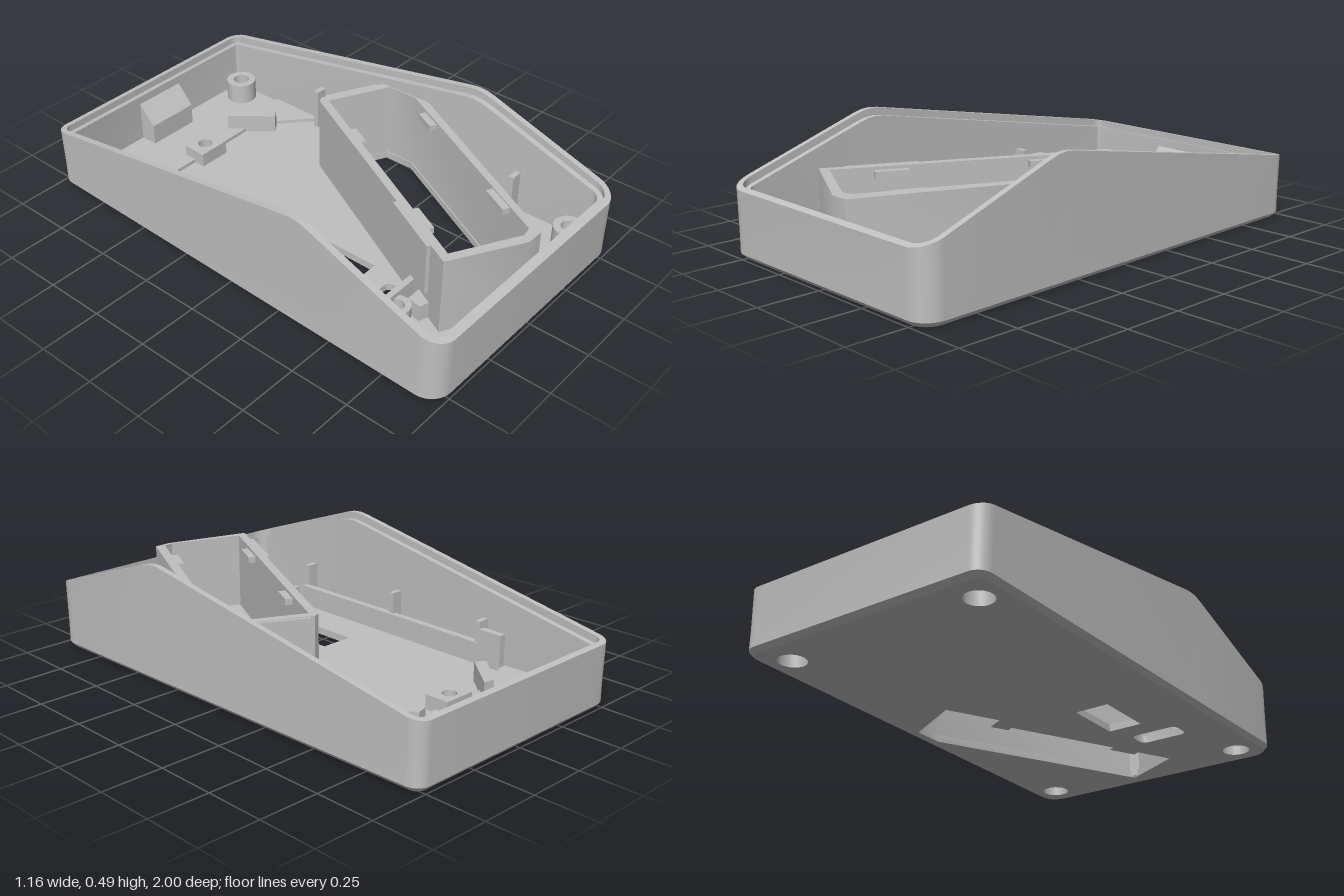
import * as THREE from 'three';
import { toCreasedNormals } from 'three/addons/utils/BufferGeometryUtils.js';

const FLOOR = 0.03, WALL = 0.05, LIP = 0.025;

// Half width of the case, slightly tapering to the back
const halfWidth = z => 0.559 + 0.0225 * z;

// Height of the rim along the side
const RIM = [[-1, 0.26], [0.3, 0.487], [0.34, 0.491], [0.38, 0.487], [0.42, 0.475], [1, 0.27]];
function rimHeight(z) {
  for (let i = 1; i < RIM.length; i++) {
    const [z0, h0] = RIM[i - 1], [z1, h1] = RIM[i];
    if (z <= z1) return h0 + (h1 - h0) * Math.max(0, (z - z0) / (z1 - z0));
  }
  return 0.27;
}

// Rounded plan outline, inset by d, as [x, z] pairs
function outline(d) {
  const pts = [];
  const corner = (sx, sz, a0) => {
    const r = sz > 0 ? 0.09 : 0.06;
    const cz = sz * (1 - r), cx = sx * (halfWidth(cz) - r);
    for (let i = 0; i <= 8; i++) {
      const a = a0 + (i / 8) * Math.PI / 2;
      pts.push([cx + Math.cos(a) * (r - d), cz + Math.sin(a) * (r - d)]);
    }
  };
  const side = (s, zs) => zs.forEach(z => pts.push([s * (halfWidth(z) - d), z]));
  const bends = [0.3, 0.34, 0.38, 0.42];
  side(1, bends);
  corner(1, 1, 0);
  corner(-1, 1, Math.PI / 2);
  side(-1, bends.slice().reverse());
  corner(-1, -1, Math.PI);
  corner(1, -1, Math.PI * 1.5);
  return pts;
}

// Wall skin: chamfer, drafted outer face, rim, stepped lip and inner face
function wallGeometry() {
  const rings = [
    [0.022, () => 0], [0.003, () => 0.02], [0.003, () => 0.11], [0, rimHeight], [LIP, rimHeight],
    [LIP, z => rimHeight(z) - 0.03], [WALL, z => rimHeight(z) - 0.03], [WALL, () => 0.02],
  ].map(([d, h]) => outline(d).map(([x, z]) => [x, h(z), z]));
  const n = rings[0].length, pos = [], index = [];
  rings.forEach(r => r.forEach(p => pos.push(...p)));
  for (let k = 0; k < rings.length - 1; k++) {
    for (let i = 0; i < n; i++) {
      const a = k * n + i, b = k * n + (i + 1) % n;
      index.push(a, a + n, b, b, a + n, b + n);
    }
  }
  const g = new THREE.BufferGeometry();
  g.setAttribute('position', new THREE.Float32BufferAttribute(pos, 3));
  g.setIndex(index);
  return toCreasedNormals(g, 0.4);
}

// Upright prism from an [x, z] plan, between y0 and y1; outer loops and holes wind opposite ways
function prism(plan, y0, y1, holes = []) {
  const wind = (pts, clockwise) => {
    const v = pts.map(([x, z]) => new THREE.Vector2(x, z));
    return THREE.ShapeUtils.isClockWise(v) === clockwise ? v : v.reverse();
  };
  const shape = new THREE.Shape(wind(plan, false));
  holes.forEach(h => shape.holes.push(new THREE.Path(wind(h, true))));
  const g = new THREE.ExtrudeGeometry(shape, { depth: y1 - y0, bevelEnabled: false });
  g.rotateX(Math.PI / 2).translate(0, y1, 0);
  return toCreasedNormals(g, 0.5);
}

const rect = (x0, x1, z0, z1) => [[x0, z0], [x1, z0], [x1, z1], [x0, z1]];
const circle = (cx, cz, r, n = 24) => Array.from({ length: n }, (_, i) => {
  const a = (i / n) * Math.PI * 2;
  return [cx + r * Math.cos(a), cz + r * Math.sin(a)];
});
function roundRect(x0, x1, z0, z1, r) {
  const pts = [];
  [[x1 - r, z1 - r], [x0 + r, z1 - r], [x0 + r, z0 + r], [x1 - r, z0 + r]].forEach(([x, z], k) => {
    for (let i = 0; i <= 4; i++) {
      const a = (k + i / 4) * Math.PI / 2;
      pts.push([x + r * Math.cos(a), z + r * Math.sin(a)]);
    }
  });
  return pts;
}

// Slanted compartment coordinates: s along its length, t across it
const bay = ([s, t]) => [-0.28 + 0.451 * s + 0.893 * t, 0.79 - 0.893 * s + 0.451 * t];
const bayRect = (s0, s1, t0, t1) => rect(s0, s1, t0, t1).map(bay);

export function createModel() {
  const group = new THREE.Group();
  const grey = new THREE.MeshStandardMaterial({ color: 0xc0c0c0 });
  grey.name = 'grey plastic';
  const add = (name, geometry) => {
    const m = new THREE.Mesh(geometry, grey);
    m.name = name;
    group.add(m);
    return m;
  };

  add('outerWall', wallGeometry());

  // Floor with screw holes, window, slot and compartment opening
  const screws = [[-0.42, -0.86], [0.42, -0.86], [-0.46, 0.87], [0.46, 0.87]];
  const opening = [[0.04, 0.09], [0.2, 0.09], [0.2, 0.12], [0.32, 0.12], [0.32, 0.09],
    [0.8, 0.09], [0.8, 0.12], [0.88, 0.12], [0.88, 0.04], [1.113, 0.04],
    [1.113, 0.31], [1.0, 0.37], [0.04, 0.37]].map(bay);
  add('floor', prism(outline(0.022), 0, FLOOR, [
    ...screws.map(([x, z]) => circle(x, z, 0.056)),
    rect(-0.285, -0.14, 0.13, 0.38),
    roundRect(-0.385, -0.18, 0.48, 0.575, 0.025),
    opening,
  ]));

  // Counterbored screw bosses
  const bossProfile = [[0.065, 0.02], [0.065, 0.12], [0.035, 0.12], [0.035, 0.08], [0.055, 0.08], [0.055, 0]]
    .map(p => new THREE.Vector2(...p));
  screws.forEach(([x, z]) => {
    add('screwBoss', toCreasedNormals(new THREE.LatheGeometry(bossProfile, 24), 0.5)).position.set(x, 0, z);
  });

  // Slanted compartment walls, trimmed where they meet the case, top dipping at the front
  const bayOuter = [[0, 0], [0, 0.344], [0.033, 0.41], [0.98, 0.41], [1.15, 0.325], [1.15, 0.02], [1.13, 0]];
  const bayInner = [[0.035, 0.035], [0.035, 0.34], [0.06, 0.375], [0.997, 0.375], [1.115, 0.315], [1.115, 0.035]];
  const bayWall = prism(bayOuter.map(bay), 0.005, 0.358, [bayInner.map(bay)]);
  const bp = bayWall.attributes.position;
  for (let i = 0; i < bp.count; i++) {
    if (bp.getY(i) > 0.3) bp.setY(i, 0.358 - 0.2 * Math.max(0, bp.getZ(i) - 0.86));
  }
  add('compartmentWall', bayWall);
  [[0.2, 0.33], [0.8, 0.9]].forEach(([s0, s1]) => {
    add('compartmentClip', prism(bayRect(s0, s1, 0.345, 0.38), 0.32, 0.345));
    add('compartmentClip', prism(bayRect(s0, s1, 0.03, 0.065), 0.32, 0.345));
  });
  add('sidePanel', prism(bayRect(0.1, 0.38, -0.015, 0.01), 0.14, 0.357));
  add('endPanel', prism(bayRect(1.14, 1.162, 0.04, 0.27), 0.14, 0.355));
  add('fingerRecess', prism([[0.33, -0.19], [0.36, -0.27], [0.40, -0.29], [0.46, -0.285],
    [0.5, -0.26], [0.5, -0.12]], 0.02, 0.11));

  // Low ribs on the side walls
  [[-1, -0.43], [1, -0.43], [-1, 0.05], [-1, 0.58], [1, 0.58]].forEach(([s, z]) => {
    const inner = halfWidth(z) - WALL;
    const xs = [s * (inner - 0.05), s * (inner + 0.01)].sort((a, b) => a - b);
    add('wallRib', prism(rect(...xs, z - 0.012, z + 0.012), 0.02, 0.21));
  });

  // Board rail along the right wall
  add('boardRail', prism(rect(-0.475, -0.445, -0.55, 0.58), 0.02, 0.12));
  add('railEnd', prism(rect(-0.475, -0.445, -0.55, -0.44), 0.02, 0.18));
  add('railFoot', prism([[-0.485, 0.58], [-0.4, 0.58], [-0.36, 0.68], [-0.485, 0.68]], 0.02, 0.05));

  // Raised step, angled supports and centre post towards the back
  add('floorStep', prism([[-0.49, -0.7], [0.49, -0.7], [0.49, -0.45], [0.28, -0.64],
    [-0.3, -0.64], [-0.48, -0.53]], 0.02, 0.045));
  [-1, 1].forEach(s => {
    add('angledSupport', prism([[0.165, -0.7], [0.21, -0.71], [0.34, -0.57], [0.30, -0.54]]
      .map(([x, z]) => [s * x, z]), 0.02, 0.11));
  });
  add('centrePost', prism(rect(-0.1, 0.04, -0.695, -0.59), 0.02, 0.09, [circle(-0.03, -0.645, 0.03)]));

  // Wedge block on the back wall
  const wedge = new THREE.BoxGeometry(0.23, 0.2, 0.09).translate(0, 0.12, -0.92);
  const p = wedge.attributes.position;
  for (let i = 0; i < p.count; i++) if (p.getY(i) > 0.2 && p.getZ(i) > -0.92) p.setY(i, 0.12);
  wedge.computeVertexNormals();
  add('backWedge', wedge);

  // Bracket and post in the front right corner
  add('cornerBracket', prism(rect(-0.42, -0.17, 0.58, 0.605), 0.02, 0.12));
  add('cornerPost', prism(circle(-0.325, 0.63, 0.055), 0.02, 0.1, [circle(-0.325, 0.63, 0.03)]));
  add('cornerBlock', prism([[-0.27, 0.64], [-0.19, 0.64], [-0.22, 0.72], [-0.28, 0.7]], 0.02, 0.1));

  return group;
}
